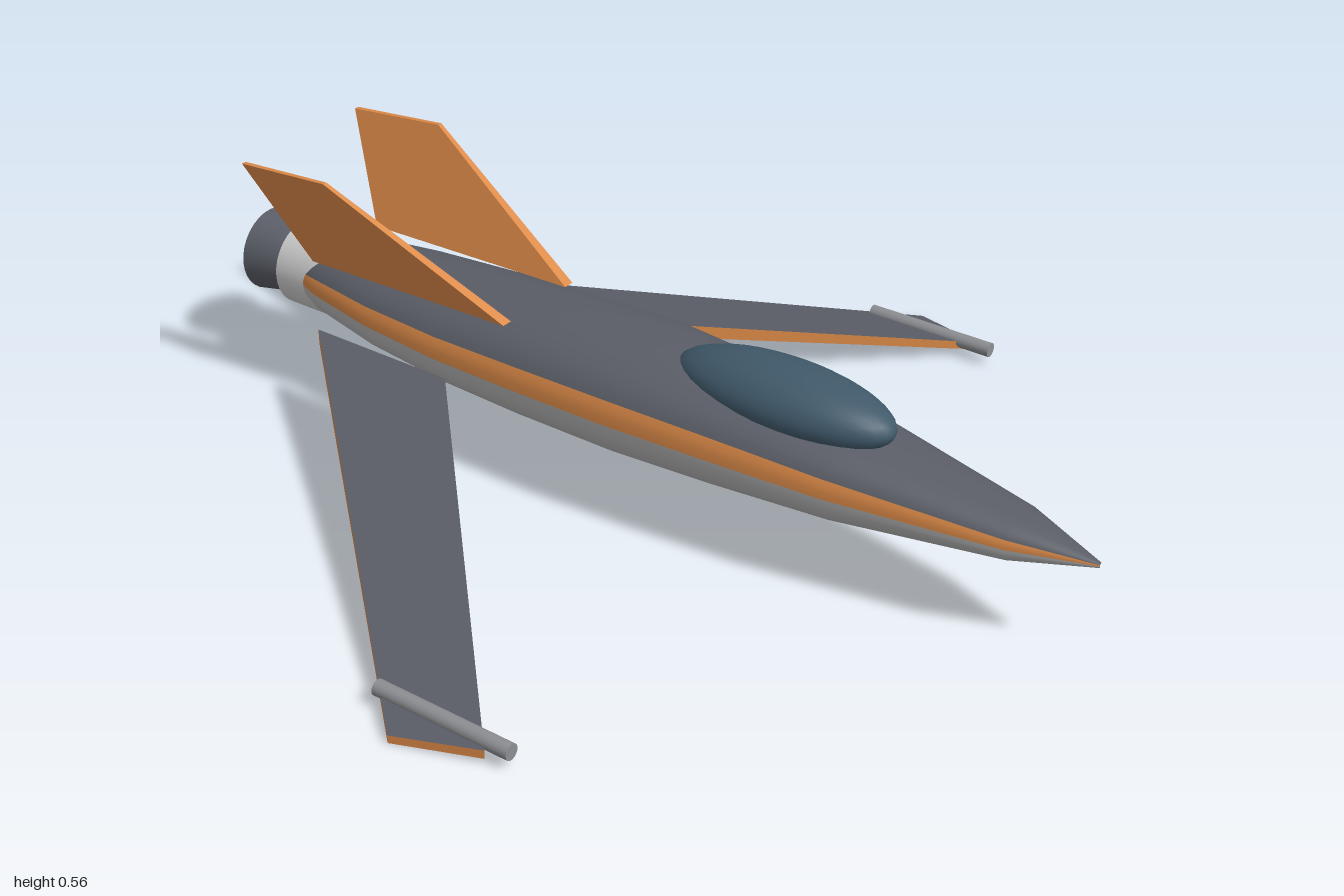
import * as THREE from 'three';

const mat = (color, extra = {}) => new THREE.MeshStandardMaterial({ color, ...extra });
const grey = mat(0xcccccc);
const belly = mat(0xb4b4b4);
const dark = mat(0x5a5d66);
const orange = mat(0xdc8a48);
const glass = mat(0x40596a);
const steel = mat(0x8c8e92, { flatShading: true });
const glow = mat(0xd8a24c);

// Fuselage stations: z, half width, bottom y, top y
const stations = [
  [1, 0.004, 0.203, 0.213], [0.84, 0.065, 0.17, 0.255], [0.5, 0.13, 0.137, 0.308],
  [0.25, 0.155, 0.126, 0.333], [0.03, 0.17, 0.12, 0.345], [-0.2, 0.168, 0.121, 0.34],
  [-0.4, 0.162, 0.128, 0.331], [-0.6, 0.143, 0.142, 0.322], [-0.77, 0.112, 0.165, 0.311],
  [-0.835, 0.085, 0.188, 0.285],
];

function hullPoint([z, w, lo, hi], angle) {
  const soft = (v) => Math.sign(v) * Math.pow(Math.abs(v), 0.86);
  return [w * soft(Math.cos(angle)), (lo + hi) / 2 + ((hi - lo) / 2) * soft(Math.sin(angle)), z];
}

// Strip of the hull between two angles (degrees), lofted from nose to tail
function hullBand(from, to, steps) {
  const pos = [], index = [], row = steps + 1;
  stations.forEach((s) => {
    for (let j = 0; j <= steps; j++) {
      pos.push(...hullPoint(s, THREE.MathUtils.degToRad(from + ((to - from) * j) / steps)));
    }
  });
  for (let i = 0; i < stations.length - 1; i++) {
    for (let j = 0; j < steps; j++) {
      const a = i * row + j, b = a + row;
      index.push(a, b, a + 1, b, b + 1, a + 1);
    }
  }
  const geo = new THREE.BufferGeometry();
  geo.setAttribute('position', new THREE.Float32BufferAttribute(pos, 3));
  geo.setIndex(index);
  geo.computeVertexNormals();
  return geo;
}

// Flat-faced geometry from quads; side -1 mirrors it in x
function quads(list, side) {
  const pos = [];
  list.forEach((q) => {
    const c = side < 0 ? [...q].reverse() : q;
    [0, 1, 2, 0, 2, 3].forEach((k) => pos.push(c[k][0] * side, c[k][1], c[k][2]));
  });
  const geo = new THREE.BufferGeometry();
  geo.setAttribute('position', new THREE.Float32BufferAttribute(pos, 3));
  geo.computeVertexNormals();
  return geo;
}

// Four-cornered plate with separately coloured faces and rim
function plate(name, outer, inner, side, faceMat, rimMat) {
  const g = new THREE.Group();
  g.name = name;
  const rim = outer.map((p, i) => {
    const j = (i + 1) % 4;
    return [p, inner[i], inner[j], outer[j]];
  });
  const faces = new THREE.Mesh(quads([outer, [...inner].reverse()], side), faceMat);
  faces.name = name + 'Faces';
  const edge = new THREE.Mesh(quads(rim, side), rimMat);
  edge.name = name + 'Edge';
  g.add(faces, edge);
  return g;
}

export function createModel() {
  const model = new THREE.Group();
  model.name = 'jet';
  const add = (name, geo, material, x = 0, y = 0, z = 0) => {
    const m = new THREE.Mesh(geo, material);
    m.name = name;
    m.position.set(x, y, z);
    model.add(m);
    return m;
  };

  // Fuselage: dark back, side stripes, light belly
  add('fuselageTop', hullBand(22.5, 157.5, 18), dark);
  add('fuselageBelly', hullBand(180, 360, 24), belly);
  add('stripeLeft', hullBand(0, 22.5, 3), orange);
  add('stripeRight', hullBand(157.5, 180, 3), orange);

  // Canopy
  const canopy = add('canopy', new THREE.SphereGeometry(1, 32, 20), glass, 0, 0.32, 0.335);
  canopy.scale.set(0.095, 0.07, 0.24);

  // Engine barrel, flared nozzle and glowing exhaust along z
  const along = (r1, r2, len, open = false) =>
    new THREE.CylinderGeometry(r1, r2, len, 32, 1, open).rotateX(Math.PI / 2);
  add('engineBarrel', along(0.095, 0.095, 0.27), grey, 0, 0.235, -0.755);
  add('engineFront', along(0.086, 0.095, 0.03), grey, 0, 0.235, -0.605);
  add('nozzle', along(0.073, 0.092, 0.1), dark, 0, 0.235, -0.94);
  add('exhaust', along(0.068, 0.068, 0.02), glow, 0, 0.235, -0.99);

  [['left', 1], ['right', -1]].forEach(([label, s]) => {
    // Forward-swept, drooping wing
    const plan = [[0.157, -0.37], [0.86, 0.3], [0.915, 0.13], [0.157, -0.715]];
    const top = plan.map(([x, z]) => [x, 0.19 - (x - 0.157) * 0.229, z]);
    const bottom = plan.map(([x, z]) => [x, 0.155 - (x - 0.157) * 0.2045, z]);
    model.add(plate(label + 'Wing', top, bottom, s, dark, orange));

    // Wing-tip pod
    add(label + 'TipPod', along(0.016, 0.016, 0.3), steel, s * 0.84, 0.033, 0.193);

    // Canted tail fin
    const fin = [[-0.25, 0.33, 0], [-0.76, 0.318, 0], [-0.875, 0.535, 0.93], [-0.645, 0.555, 1]];
    const outer = fin.map(([z, y, t]) => [0.112 + 0.07 * t, y, z]);
    const inner = fin.map(([z, y, t]) => [0.088 + 0.084 * t, y, z]);
    model.add(plate(label + 'TailFin', outer, inner, s, orange, orange));
  });

  return model;
}
